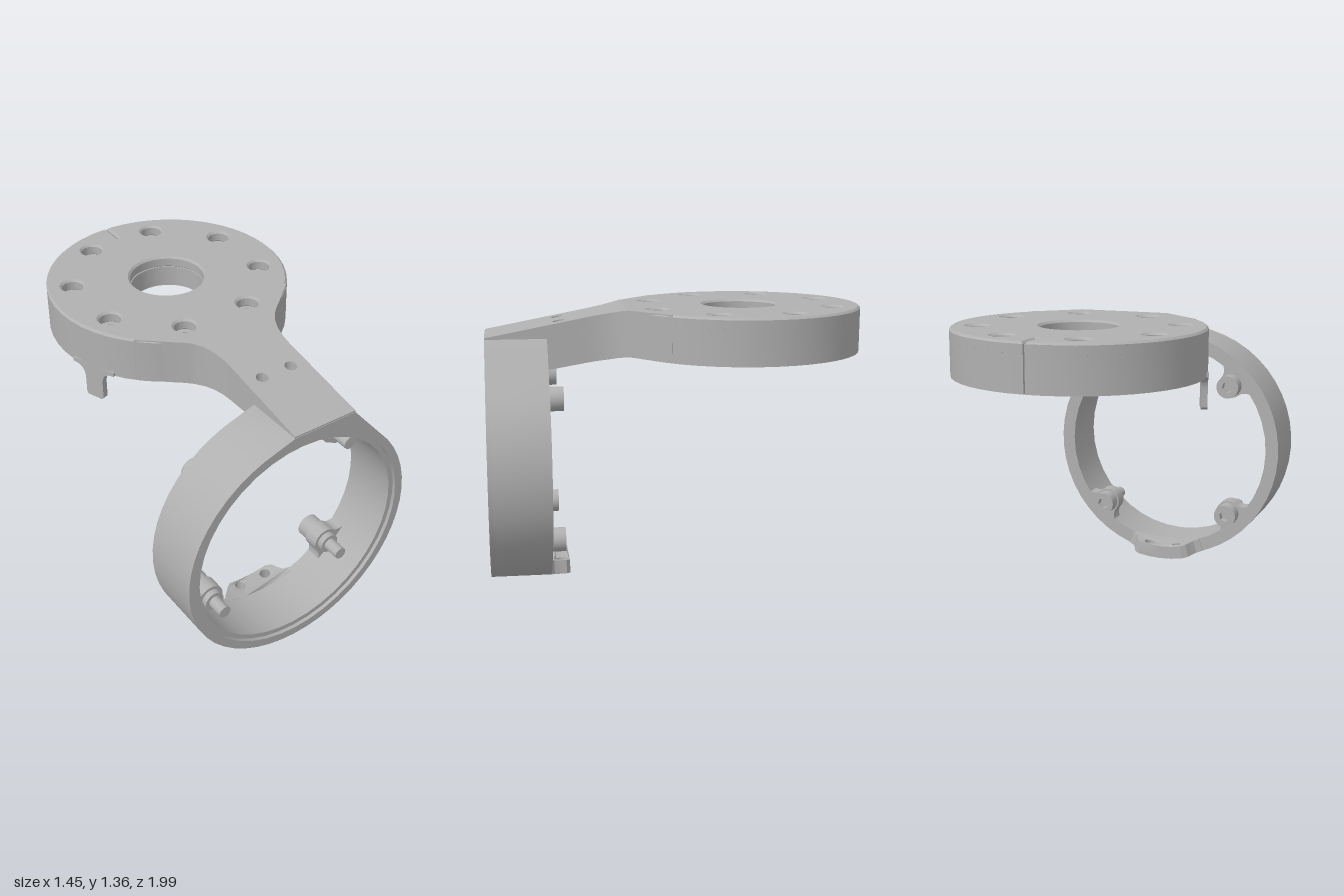
import * as THREE from 'three';
import { toCreasedNormals } from 'three/addons/utils/BufferGeometryUtils.js';

const C = 0.104;            // sideways offset of arm and disc from the ring axis
const DISC_Z = -1.098;      // disc centre behind the ring centre
const RING_Y = 0.607, RING_R = 0.607, BORE_R = 0.54;
const TAU = Math.PI * 2;

export function createModel() {
  const metal = new THREE.MeshStandardMaterial({ color: 0xb0b0b0 });
  metal.name = 'grey metal';
  const root = new THREE.Group();
  const model = new THREE.Group();
  model.position.set(0.1, 0, 0.66);
  model.rotation.y = THREE.MathUtils.degToRad(18);
  root.add(model);

  const add = (name, geo, parent = model) => {
    const m = new THREE.Mesh(toCreasedNormals(geo, Math.PI / 6), metal);
    m.name = name;
    parent.add(m);
    return m;
  };
  const circle = (x, y, r) => new THREE.Path().absarc(x, y, r, 0, TAU);
  const poly = (pts) => new THREE.Shape(pts.map((p) => new THREE.Vector2(p[0], p[1])));
  const extrude = (shape, depth, seg = 20, extra = {}) =>
    new THREE.ExtrudeGeometry(shape, { depth, bevelEnabled: false, curveSegments: seg, ...extra });
  // Plan outline (x, -z) raised between y0 and y0 + depth
  const upright = (shape, y0, depth, seg, extra) =>
    extrude(shape, depth, seg, extra).rotateX(-Math.PI / 2).translate(0, y0, 0);
  // Move every vertex of a geometry by a rule
  const warp = (geo, rule) => {
    const p = geo.attributes.position;
    for (let i = 0; i < p.count; i++) p.setXYZ(i, ...rule(p.getX(i), p.getY(i), p.getZ(i)));
    return geo;
  };

  // ---- Clamp ring with a tangent wedge under the arm ----
  const ringShape = (bore) => {
    const s = new THREE.Shape();
    s.absarc(0, 0, RING_R, 0.665, 1.94 - TAU, true);
    s.lineTo(C - 0.164, 0.618);
    s.lineTo(C + 0.164, 0.618);
    s.closePath();
    s.holes.push(circle(0, 0, bore));
    return s;
  };
  add('ringBody', extrude(ringShape(BORE_R), 0.276).translate(0, RING_Y, -0.147));
  add('ringFrontLip', extrude(ringShape(0.565), 0.018).translate(0, RING_Y, 0.129));

  // Curved tab behind the bottom of the ring
  const half = [[0.21, 0.13], [0.2, 0.152], [0.172, 0.166], [0.156, 0.195], [0.145, 0.228], [0.118, 0.247], [0.06, 0.247]];
  const tab = poly([...half, [0, 0.247], ...half.map(([x, y]) => [-x, y]).reverse(), [-0.1, 0.13], [0, 0.13], [0.1, 0.13]]);
  for (const s of [-1, 1]) tab.holes.push(circle(s * 0.08, 0.206, 0.028));
  add('ringBottomTab', warp(upright(tab, 0, 1, 8), (x, y, z) => {
    const r = RING_R - (RING_R - BORE_R) * y, a = x / 0.57;
    return [r * Math.sin(a), RING_Y - r * Math.cos(a), z];
  }));

  // ---- Lugs and socket screws inside the ring ----
  const lug = new THREE.Shape();
  lug.moveTo(-0.15, 0.06);
  lug.quadraticCurveTo(-0.075, 0.04, -0.066, 0);
  lug.absarc(0, 0, 0.066, Math.PI, TAU);
  lug.quadraticCurveTo(0.075, 0.04, 0.15, 0.06);
  const head = new THREE.Shape().absarc(0, 0, 0.058, 0, TAU);
  head.holes.push(new THREE.Path(Array.from({ length: 6 }, (_, i) =>
    new THREE.Vector2(0.03 * Math.cos(i * TAU / 6), 0.03 * Math.sin(i * TAU / 6)))));
  const rod = (r, z0, z1) => new THREE.CylinderGeometry(r, r, z1 - z0, 20)
    .rotateX(Math.PI / 2).translate(0, 0, (z0 + z1) / 2);
  for (let i = 0; i < 4; i++) {
    const g = new THREE.Group();
    g.name = 'screwMount' + (i + 1);
    g.position.y = RING_Y;
    g.rotation.z = Math.PI / 4 + i * Math.PI / 2;
    model.add(g);
    const put = (name, geo) => add(name, geo.translate(0, 0.488, 0), g);
    put('lug', extrude(lug, 0.077, 10).translate(0, 0, -0.147));
    put('screwHead', extrude(head, 0.07, 12).translate(0, 0, -0.215));
    put('washer', rod(0.05, -0.075, -0.04));
    put('screwShaft', rod(0.031, -0.175, 0.045));
  }

  // ---- Arm: half width along its length, flaring into the disc ----
  const flare = [[-0.703, 0.431], [-0.65, 0.368], [-0.593, 0.304], [-0.555, 0.258], [-0.524, 0.228]];
  const neck = [[-0.524, 0.228], [-0.48, 0.196], [-0.433, 0.177], [-0.38, 0.167], [-0.332, 0.164], [-0.147, 0.164]];
  const side = (rows, s) => rows.map(([z, w]) => [C + s * w, -z]);
  const topY = (z) => 1.36 - 0.19 * Math.max(0, z + 0.524);
  const underY = (x, z) => {
    const arc = RING_Y + Math.sqrt(BORE_R ** 2 - Math.min(x * x, 0.08));
    return THREE.MathUtils.lerp(1.14, arc, THREE.MathUtils.clamp((z + 0.52) / 0.373, 0, 1));
  };
  const slab = (name, shape, under) => add(name, warp(upright(shape, 0, 1, 8),
    (x, y, z) => [x, y > 0.5 ? topY(z) : under(x, z), z]));

  const arc = Array.from({ length: 17 }, (_, i) => {
    const a = (i / 8 - 1) * 0.82;
    return [C + 0.57 * Math.sin(a), -DISC_Z - 0.57 * Math.cos(a)];
  });
  slab('armFlare', poly([...side(flare, -1), ...side(flare, 1).reverse(), ...arc.reverse()]), () => 1.14);

  const neckEnd = [-0.6, -0.2, 0.2, 0.6].map((t) => [C + t * 0.164, 0.147]);
  const neckShape = poly([...side(neck, -1), ...neckEnd, ...side(neck, 1).reverse()]);
  for (const s of [-1, 1]) neckShape.holes.push(circle(C + s * 0.079, 0.207, 0.028));
  slab('armNeck', neckShape, underY);

  const pad = [[-0.147, 0.164], [0.145, 0.164]];
  slab('armPad', poly([...side(pad, -1), ...side(pad, 1).reverse()]), () => 1.2);

  // ---- Mounting disc, hollow underneath ----
  const disc = new THREE.Group();
  disc.name = 'mountingDisc';
  disc.position.set(C, 0, DISC_Z);
  model.add(disc);
  const boltHoles = (shape, r) => {
    for (let i = 0; i < 8; i++) {
      const a = (i + 0.5) * TAU / 8;
      shape.holes.push(circle(0.461 * Math.cos(a), 0.461 * Math.sin(a), r));
    }
    return shape;
  };

  // Top plate with counterbores, chamfered edges and a radial slit at the back
  const gap = 0.024, B = 0.01;
  const top = new THREE.Shape();
  top.absarc(0, 0, 0.575, Math.PI / 2 + gap, Math.PI / 2 - gap + TAU);
  top.lineTo(0.014, 0.45);
  top.lineTo(-0.014, 0.45);
  top.closePath();
  top.holes.push(circle(0, 0, 0.19));
  boltHoles(top, 0.061);
  add('discTop', upright(top, 1.31, 0.04, 24,
    { bevelEnabled: true, bevelSize: B, bevelThickness: B, bevelSegments: 1 }), disc);

  // Floor with the small through holes
  const floor = new THREE.Shape().absarc(0, 0, 0.565, 0, TAU);
  floor.holes.push(circle(0, 0, 0.178));
  boltHoles(floor, 0.032);
  add('discFloor', upright(floor, 1.24, 0.065, 24), disc);

  // Split outer wall
  const wall = new THREE.Shape();
  wall.absarc(0, 0, 0.585, Math.PI / 2 + 0.006, Math.PI / 2 - 0.006 + TAU);
  wall.absarc(0, 0, 0.555, Math.PI / 2 - 0.006 + TAU, Math.PI / 2 + 0.006, true);
  wall.closePath();
  add('discWall', upright(wall, 1.14, 0.205, 24), disc);

  // Collar around the centre hole
  const collar = new THREE.Shape().absarc(0, 0, 0.197, 0, TAU);
  collar.holes.push(circle(0, 0, 0.178));
  add('discCollar', upright(collar, 1.2, 0.06, 20), disc);

  // Hanging tab with filleted root
  const hang = new THREE.Shape();
  hang.moveTo(-0.12, 1.16);
  hang.lineTo(-0.12, 1.14);
  hang.quadraticCurveTo(-0.05, 1.14, -0.05, 1.07);
  hang.lineTo(-0.05, 0.99);
  hang.lineTo(-0.04, 0.98);
  hang.lineTo(0.04, 0.98);
  hang.lineTo(0.05, 0.99);
  hang.lineTo(0.05, 1.07);
  hang.quadraticCurveTo(0.05, 1.14, 0.12, 1.14);
  hang.lineTo(0.12, 1.16);
  const hangTab = add('hangingTab', extrude(hang, 0.03, 8).translate(0, 0, 0.553), disc);
  hangTab.rotation.y = Math.atan2(-0.533, 0.2);

  return root;
}
